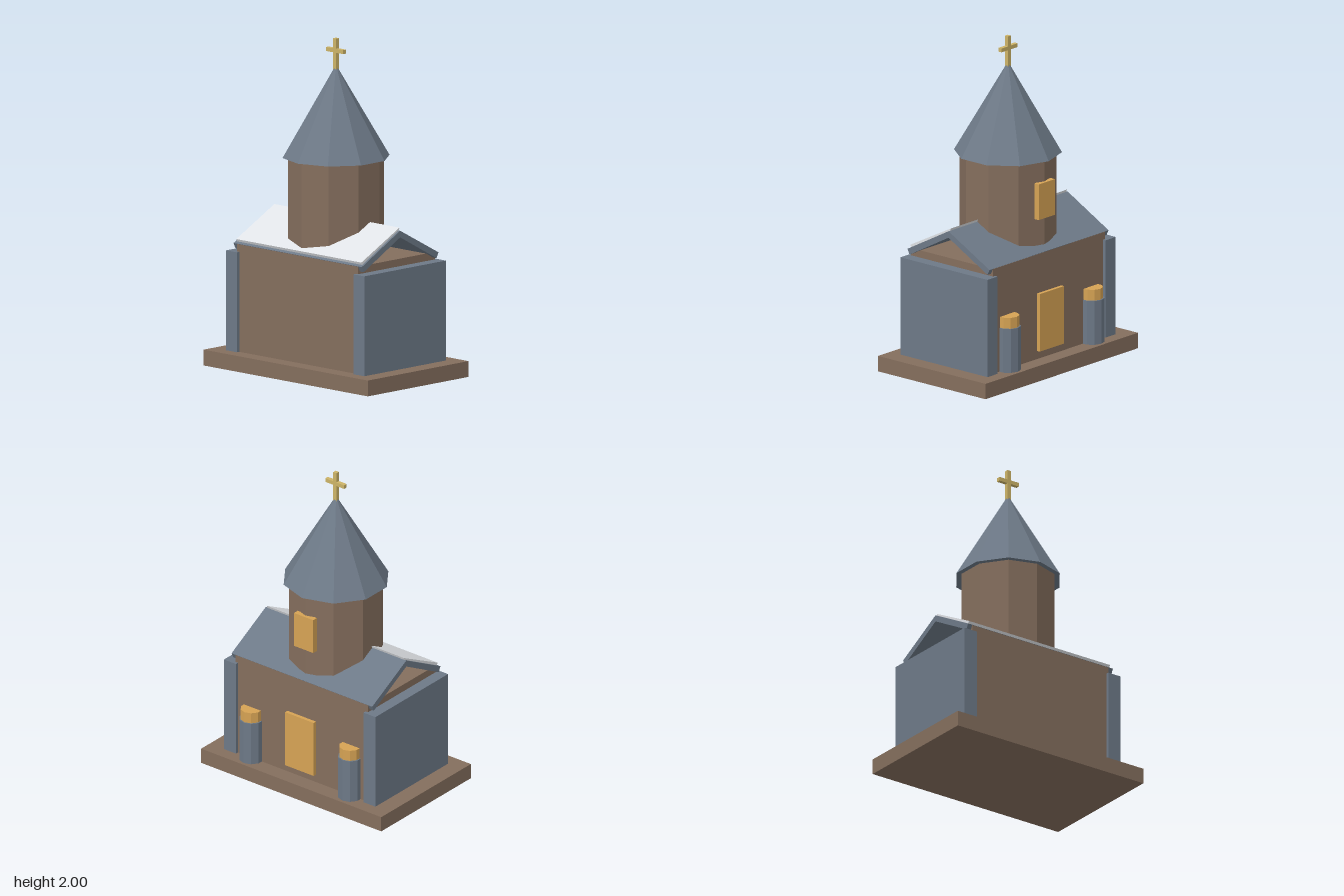
import * as THREE from 'three';

export function createModel() {
  const model = new THREE.Group();
  const material = (name, color) => {
    const m = new THREE.MeshStandardMaterial({ color, flatShading: true });
    m.name = name;
    return m;
  };
  const stone = material('brown stone', 0x846e5d);
  const slate = material('slate', 0x6d7987);
  const snow = material('snow', 0xdfe2e6);
  const amber = material('amber', 0xd6a354);
  const gold = material('pale gold', 0xcdb468);

  const add = (name, geometry, mat, x = 0, y = 0, z = 0) => {
    const mesh = new THREE.Mesh(geometry, mat);
    mesh.name = name;
    mesh.position.set(x, y, z);
    model.add(mesh);
    return mesh;
  };
  // Box given by its bottom height and top height
  const block = (name, mat, w, d, y0, y1, x = 0, z = 0) =>
    add(name, new THREE.BoxGeometry(w, y1 - y0, d), mat, x, (y0 + y1) / 2, z);
  // Ten-sided prism or cone with a corner facing the front
  const prism = (name, mat, rTop, rBottom, y0, y1, x = 0, z = 0) =>
    add(name, new THREE.CylinderGeometry(rTop, rBottom, y1 - y0, 10), mat, x, (y0 + y1) / 2, z);
  // Sloped slab: (z, y) section swept across the width
  const slab = (name, mat, section, width) => {
    const shape = new THREE.Shape(section.map(([z, y]) => new THREE.Vector2(z, y)));
    const geometry = new THREE.ExtrudeGeometry(shape, { depth: width, bevelEnabled: false });
    geometry.translate(0, 0, -width / 2).rotateY(-Math.PI / 2);
    return add(name, geometry, mat);
  };

  // Plinth, hall and end walls
  block('base', stone, 1.36, 0.845, 0, 0.095);
  block('hall', stone, 1.0, 0.645, 0.095, 0.74);
  for (const side of [-1, 1]) {
    block('endWall', slate, 0.09, 0.685, 0.095, 0.695, side * 0.527);
  }

  // Gable roof, open at both ends, with snow on the front slope
  const roofSection = [[0, 0.876], [0.306, 0.709], [0.322, 0.742], [0, 0.916]];
  slab('frontRoof', slate, roofSection, 1.062);
  slab('backRoof', slate, roofSection, 1.062).rotation.y = Math.PI;
  slab('roofSnow', snow, [[0, 0.914], [0.305, 0.751], [0.312, 0.766], [-0.008, 0.932]], 1.035);

  // Tower and spire
  prism('tower', stone, 0.288, 0.288, 0.772, 1.295);
  prism('spire', slate, 0.012, 0.32, 1.29, 1.82);

  // Cross
  block('crossPost', gold, 0.024, 0.024, 1.81, 2.0);
  block('crossArm', gold, 0.142, 0.024, 1.915, 1.939);

  // Door and tower window at the back
  block('door', amber, 0.215, 0.04, 0.145, 0.5, 0, -0.325);
  block('towerWindow', amber, 0.145, 0.035, 0.94, 1.16, 0, -0.288);

  // Lamp posts half sunk into the back wall
  for (const side of [-1, 1]) {
    prism('lampPost', slate, 0.075, 0.075, 0.095, 0.365, side * 0.373, -0.33);
    prism('lamp', amber, 0.067, 0.067, 0.365, 0.432, side * 0.373, -0.33);
  }
  return model;
}
